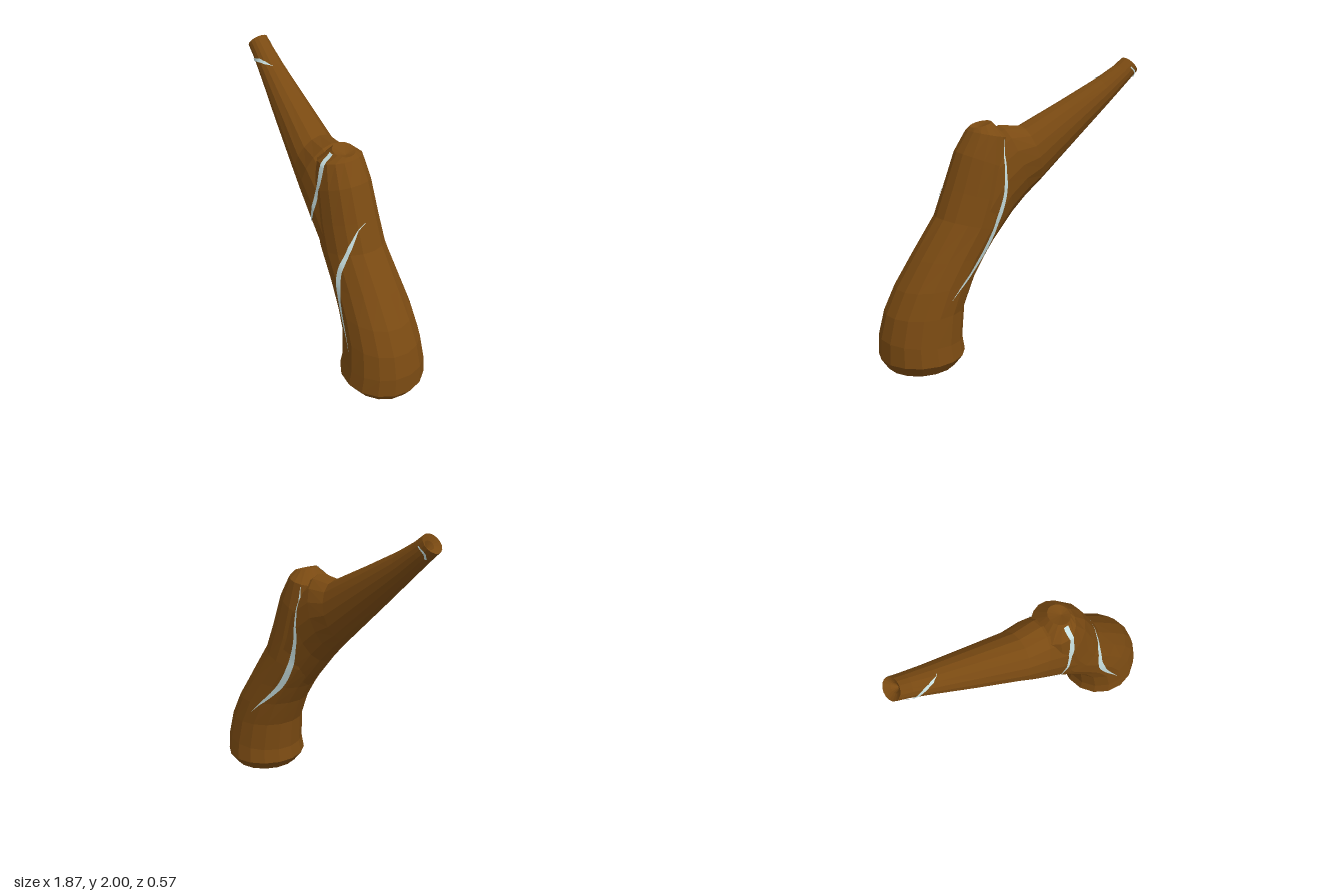
import * as THREE from 'three';

const wood = new THREE.MeshStandardMaterial({ color: 0x7a4a12, flatShading: true, name: 'wood' });
const silver = new THREE.MeshStandardMaterial({ color: 0xc6dede, side: THREE.DoubleSide, name: 'silverInlay' });
const SIDES = 16;

// Loft through elliptical rings: [leftX, leftY, rightX, rightY, zRadius, zCentre]
function loft(rings, name) {
  const pos = [], idx = [];
  for (const [lx, ly, rx, ry, zr, zc = 0] of rings) {
    for (let j = 0; j < SIDES; j++) {
      const a = (j / SIDES) * Math.PI * 2, c = Math.cos(a) / 2;
      pos.push((lx + rx) / 2 + (rx - lx) * c, (ly + ry) / 2 + (ry - ly) * c, zc + zr * Math.sin(a));
    }
  }
  for (let i = 0; i < rings.length - 1; i++) {
    for (let j = 0; j < SIDES; j++) {
      const k = (j + 1) % SIDES, a = i * SIDES + j, b = i * SIDES + k;
      idx.push(a, a + SIDES, b, b, a + SIDES, b + SIDES);
    }
  }
  const geo = new THREE.BufferGeometry();
  geo.setAttribute('position', new THREE.Float32BufferAttribute(pos, 3));
  geo.setIndex(idx);
  geo.computeVertexNormals();
  const mesh = new THREE.Mesh(geo, wood);
  mesh.name = name;
  return mesh;
}

// Tapered ribbon laid on the wood; points are [x, y, width], side is +1 front, -1 back
function inlay(name, points, side, targets) {
  const curve = new THREE.CatmullRomCurve3(points.map(p => new THREE.Vector3(...p)));
  const ray = new THREE.Raycaster();
  const drop = (x, y) => {
    ray.set(new THREE.Vector3(x, y, side * 3), new THREE.Vector3(0, 0, -side));
    const hit = ray.intersectObjects(targets)[0];
    return hit && hit.point.addScaledVector(hit.face.normal, 0.007);
  };
  const pos = [], idx = [], N = 32;
  for (let i = 0; i <= N; i++) {
    const p = curve.getPoint(i / N), t = curve.getTangent(i / N);
    const len = Math.hypot(t.x, t.y) || 1, w = Math.max(p.z, 0.002) / 2;
    const ox = (-t.y / len) * w, oy = (t.x / len) * w;
    const a = drop(p.x + ox, p.y + oy), b = drop(p.x - ox, p.y - oy);
    if (a && b) pos.push(...a.toArray(), ...b.toArray());
  }
  for (let i = 0; i < pos.length / 6 - 1; i++) {
    const a = i * 2;
    // Wind each strip so that it faces outward
    const quad = [a, a + 1, a + 2, a + 1, a + 3, a + 2];
    idx.push(...(side > 0 ? quad.reverse() : quad));
  }
  const geo = new THREE.BufferGeometry();
  geo.setAttribute('position', new THREE.Float32BufferAttribute(pos, 3));
  geo.setIndex(idx);
  geo.computeVertexNormals();
  // Make the normals agree with the side the ribbon lies on
  const n = geo.attributes.normal;
  if (n.count && n.getZ(Math.floor(n.count / 2)) * side < 0) {
    geo.setIndex(idx.slice().reverse());
    geo.computeVertexNormals();
  }
  const mesh = new THREE.Mesh(geo, silver);
  mesh.name = name;
  return mesh;
}

export function createModel() {
  const group = new THREE.Group();
  group.name = 'carvedBranch';

  // Trunk: rounded foot, leaning body and knob with a small pit on top
  const trunk = loft([
    [0.645, 0, 0.645, 0, 0],
    [0.52, 0.02, 0.77, 0.015, 0.125],
    [0.42, 0.065, 0.88, 0.055, 0.23],
    [0.365, 0.135, 0.93, 0.13, 0.283],
    [0.38, 0.23, 0.925, 0.27, 0.268],
    [0.36, 0.44, 0.885, 0.43, 0.25],
    [0.28, 0.63, 0.81, 0.59, 0.235],
    [0.19, 0.77, 0.69, 0.78, 0.217],
    [0.08, 0.92, 0.525, 1.03, 0.2],
    [0.02, 1.08, 0.455, 1.22, 0.19],
    [0.0, 1.3, 0.375, 1.44, 0.177],
    [0.03, 1.52, 0.29, 1.57, 0.15],
    [0.13, 1.625, 0.27, 1.59, 0.075],
    [0.22, 1.58, 0.22, 1.58, 0],
  ], 'trunk');

  // Side limb: tapers up to a hollow cut end
  const limb = loft([
    [0.4, 0.75, 0.4, 0.75, 0],
    [0.19, 0.77, 0.44, 1.15, 0.19],
    [0.0, 1.0, 0.22, 1.5, 0.188],
    [-0.1, 1.105, 0.07, 1.592, 0.178, -0.008],
    [-0.2, 1.2, -0.08, 1.58, 0.16, -0.026],
    [-0.5, 1.485, -0.38, 1.73, 0.123, -0.058],
    [-0.72, 1.695, -0.64, 1.865, 0.092, -0.085],
    [-0.86, 1.83, -0.78, 1.95, 0.076, -0.099],
    [-0.935, 1.9, -0.845, 2.0, 0.071, -0.102],
    [-0.89, 1.915, -0.85, 1.96, 0.035, -0.102],
    [-0.84, 1.9, -0.84, 1.9, 0, -0.102],
  ], 'limb');
  group.add(trunk, limb);

  // Silver veins inlaid in the wood
  const t = [trunk, limb];
  group.add(
    inlay('knobInlay', [[0.185, 1.6, 0.03], [0.172, 1.4, 0.032], [0.132, 1.2, 0.025], [0.07, 1.02, 0]], 1, t),
    inlay('bodyInlay', [[0.452, 1.21, 0], [0.445, 1.05, 0.02], [0.43, 0.85, 0.038], [0.48, 0.65, 0.03], [0.605, 0.37, 0]], 1, t),
    inlay('limbInlay', [[-0.85, 1.842, 0.012], [-0.75, 1.87, 0.022], [-0.64, 1.858, 0]], 1, t),
    inlay('backInlay', [[0.11, 1.52, 0], [0.115, 1.33, 0.015], [0.13, 1.13, 0.028], [0.26, 0.83, 0.035], [0.53, 0.54, 0]], -1, t),
    inlay('tipInlay', [[-0.85, 1.94, 0.008], [-0.885, 1.905, 0.012], [-0.88, 1.87, 0.008]], -1, t),
  );
  return group;
}
